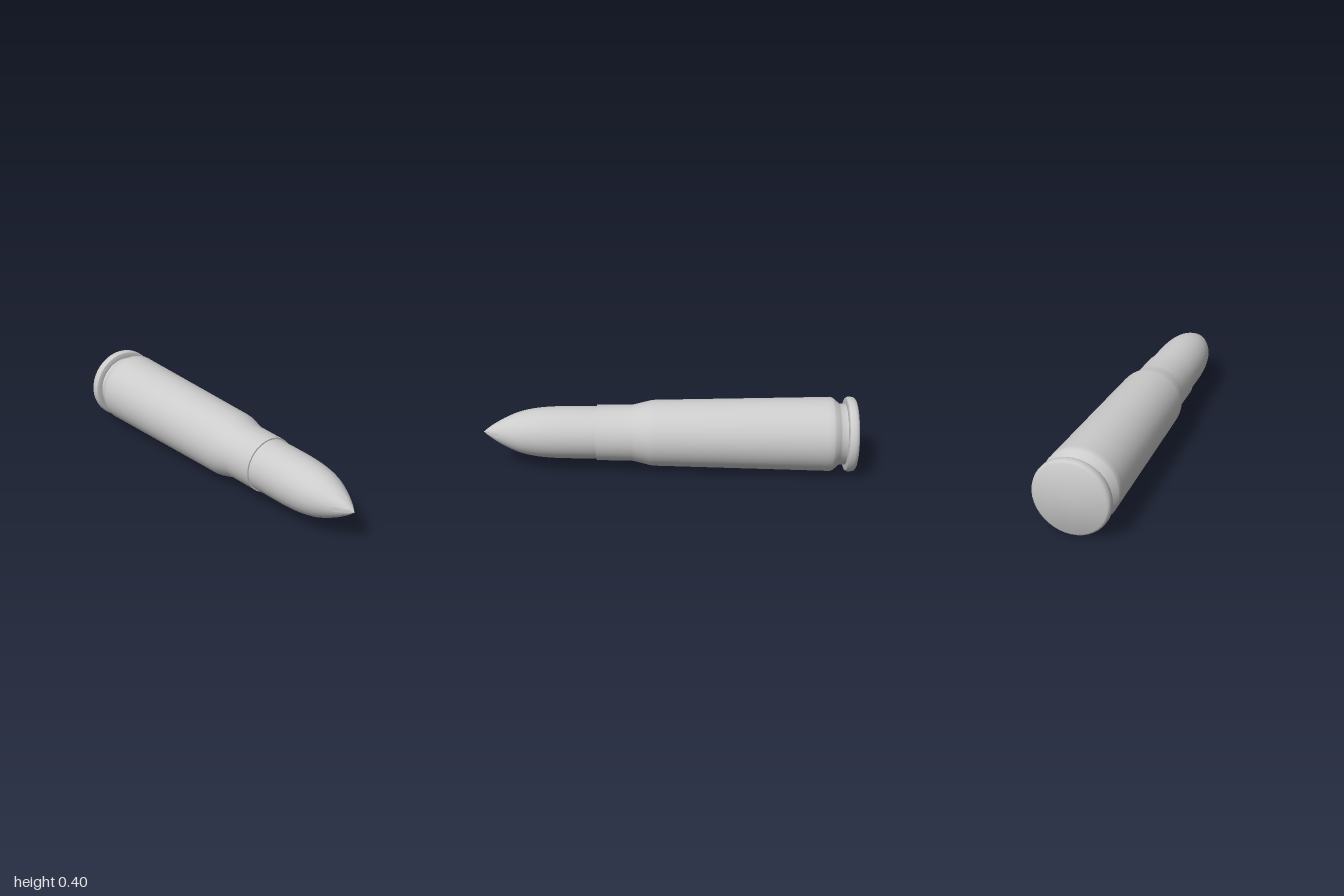
import * as THREE from 'three';
import { toCreasedNormals } from 'three/addons/utils/BufferGeometryUtils.js';

const AXIS_HEIGHT = 0.202;
const SIDES = 40;

// Turns a [radius, z] profile around the long axis; listed from back to front.
function turned(name, profile, crease) {
  const points = profile.map(([r, z]) => new THREE.Vector2(r, z));
  const lathe = new THREE.LatheGeometry(points, SIDES).rotateX(Math.PI / 2);
  const mesh = new THREE.Mesh(
    toCreasedNormals(lathe, crease),
    new THREE.MeshStandardMaterial({ color: 0xcccccc })
  );
  mesh.name = name;
  mesh.position.y = AXIS_HEIGHT;
  return mesh;
}

export function createModel() {
  const group = new THREE.Group();
  group.name = 'cartridge';

  // Base rim with bevelled edges
  group.add(turned('rim', [
    [0, -1], [0.187, -1], [0.197, -0.993], [0.201, -0.98],
    [0.201, -0.96], [0.196, -0.95], [0.185, -0.946], [0.165, -0.946],
  ], 0.7));

  // Extractor groove, tapered body, shoulder and neck with an open mouth
  group.add(turned('case', [
    [0.165, -0.946], [0.165, -0.915], [0.172, -0.906], [0.196, -0.878],
    [0.2, -0.868], [0.199, -0.84], [0.178, 0.075], [0.175, 0.1],
    [0.156, 0.175], [0.152, 0.195], [0.15, 0.385], [0.141, 0.385], [0.141, 0.34],
  ], 0.7));

  // Bullet: straight shank, then a curved nose
  const nose = new THREE.SplineCurve([
    [0.141, 0.55], [0.139, 0.62], [0.131, 0.71], [0.112, 0.8],
    [0.076, 0.885], [0.035, 0.955], [0, 1],
  ].map(([r, z]) => new THREE.Vector2(r, z))).getPoints(24).map((p) => [Math.max(p.x, 0), p.y]);
  group.add(turned('bullet', [[0.142, 0.34], [0.142, 0.45], ...nose], 0.7));

  return group;
}
